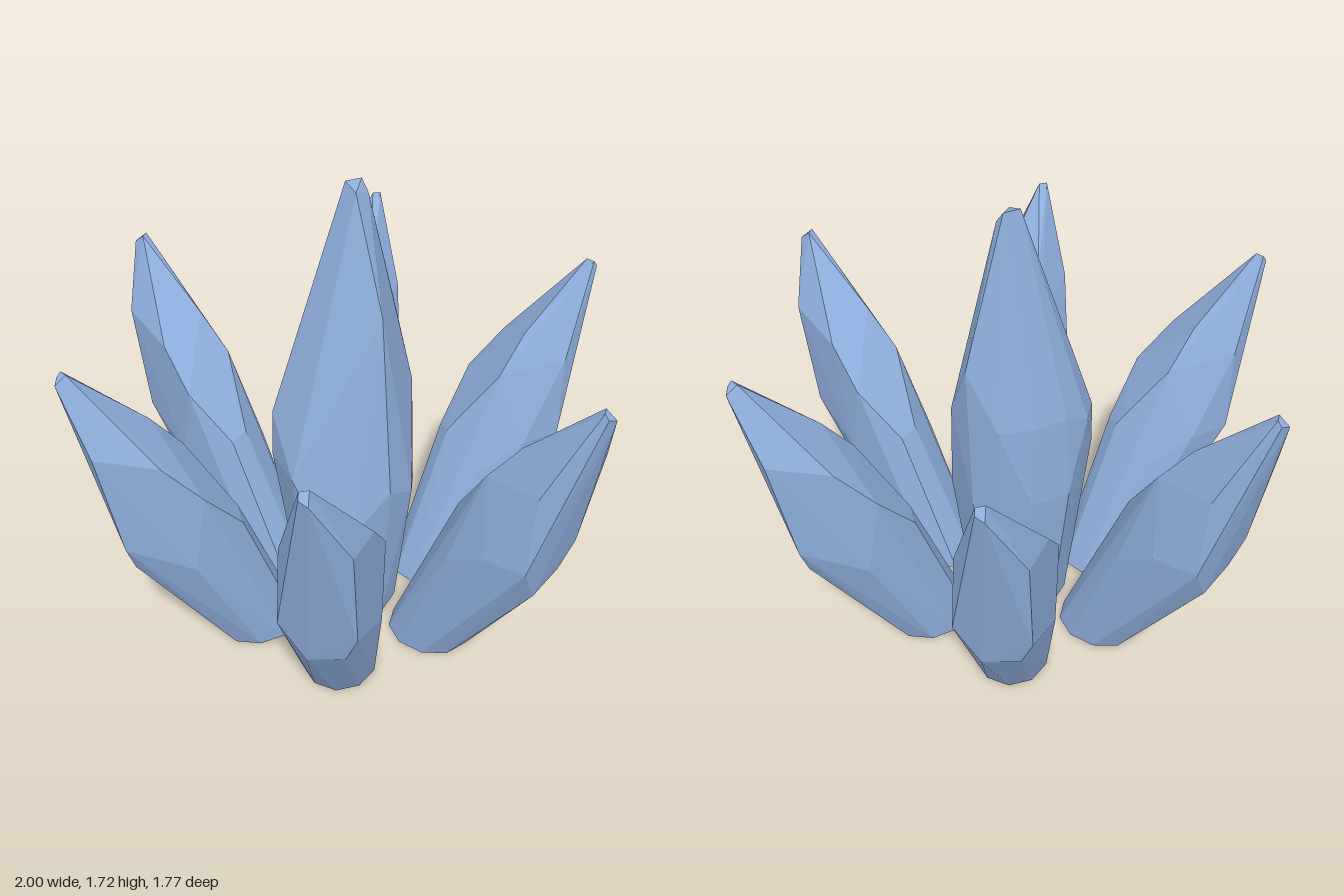
import * as THREE from 'three';
import { ConvexGeometry } from 'three/addons/geometries/ConvexGeometry.js';

const crystalBlue = new THREE.MeshStandardMaterial({ color: 0x8eaddb });
crystalBlue.name = 'crystalBlue';

// A faceted crystal: flat ten-sided foot plus the corners of its cut faces
function crystalGeometry(footX, rx, rz, corners) {
  const points = corners.map(([x, y, z]) => new THREE.Vector3(x, y, z));
  for (let i = 0; i < 10; i++) {
    const a = (i / 10) * Math.PI * 2;
    points.push(new THREE.Vector3(footX + rx * Math.cos(a), 0, rz * Math.sin(a)));
  }
  return new ConvexGeometry(points);
}

// Tall upright crystal
const centreCorners = [
  [0.03, 1.72, -0.08], [0.09, 1.72, -0.08], [0.10, 1.68, -0.05], [0.04, 1.70, -0.02], // tip
  [0.055, 1.32, 0.155], [0.24, 1.17, -0.09],                                        // upper cuts
  [0.25, 0.95, 0.02], [-0.25, 0.88, -0.10], [-0.18, 0.90, -0.19],
  [-0.08, 0.95, -0.22], [0.05, 0.95, -0.22], [0.17, 0.95, -0.19],
  [0.05, 0.65, 0.25], [-0.10, 0.48, 0.23], [-0.19, 0.50, 0.18],                     // lower cuts
  [-0.26, 0.70, 0.09], [-0.26, 0.70, -0.09], [-0.09, 0.62, -0.235],
  [0.06, 0.62, -0.235], [0.23, 0.58, -0.10], [0.23, 0.55, 0.09], [0.17, 0.58, 0.19],
];

// Smaller crystal leaning outward along +x
const outerCorners = [
  [1.00, 1.25, 0.03], [0.96, 1.28, 0.03], [0.985, 1.26, 0.06], [0.97, 1.28, 0.06],   // tip
  [0.945, 1.02, -0.09], [0.83, 0.94, 0.145], [0.71, 1.03, 0.04], [0.74, 0.95, -0.14], // upper cuts
  [0.60, 0.88, 0.06], [0.61, 0.80, -0.17],
  [0.88, 0.62, -0.10], [0.82, 0.62, 0.16], [0.82, 0.46, 0.07], [0.845, 0.50, -0.06],  // lower cuts
  [0.66, 0.62, 0.17], [0.50, 0.50, 0.12], [0.45, 0.62, -0.04], [0.46, 0.60, -0.11],
  [0.66, 0.50, -0.165],
];

export function createModel() {
  const model = new THREE.Group();
  model.name = 'crystalCluster';

  const centre = new THREE.Mesh(crystalGeometry(0, 0.19, 0.19, centreCorners), crystalBlue);
  centre.name = 'centreCrystal';
  model.add(centre);

  // Ring of six identical leaning crystals
  const outer = crystalGeometry(0.38, 0.16, 0.14, outerCorners);
  for (let i = 0; i < 6; i++) {
    const crystal = new THREE.Mesh(outer, crystalBlue);
    crystal.name = `outerCrystal${i + 1}`;
    crystal.rotation.y = (i * Math.PI) / 3;
    model.add(crystal);
  }
  return model;
}
